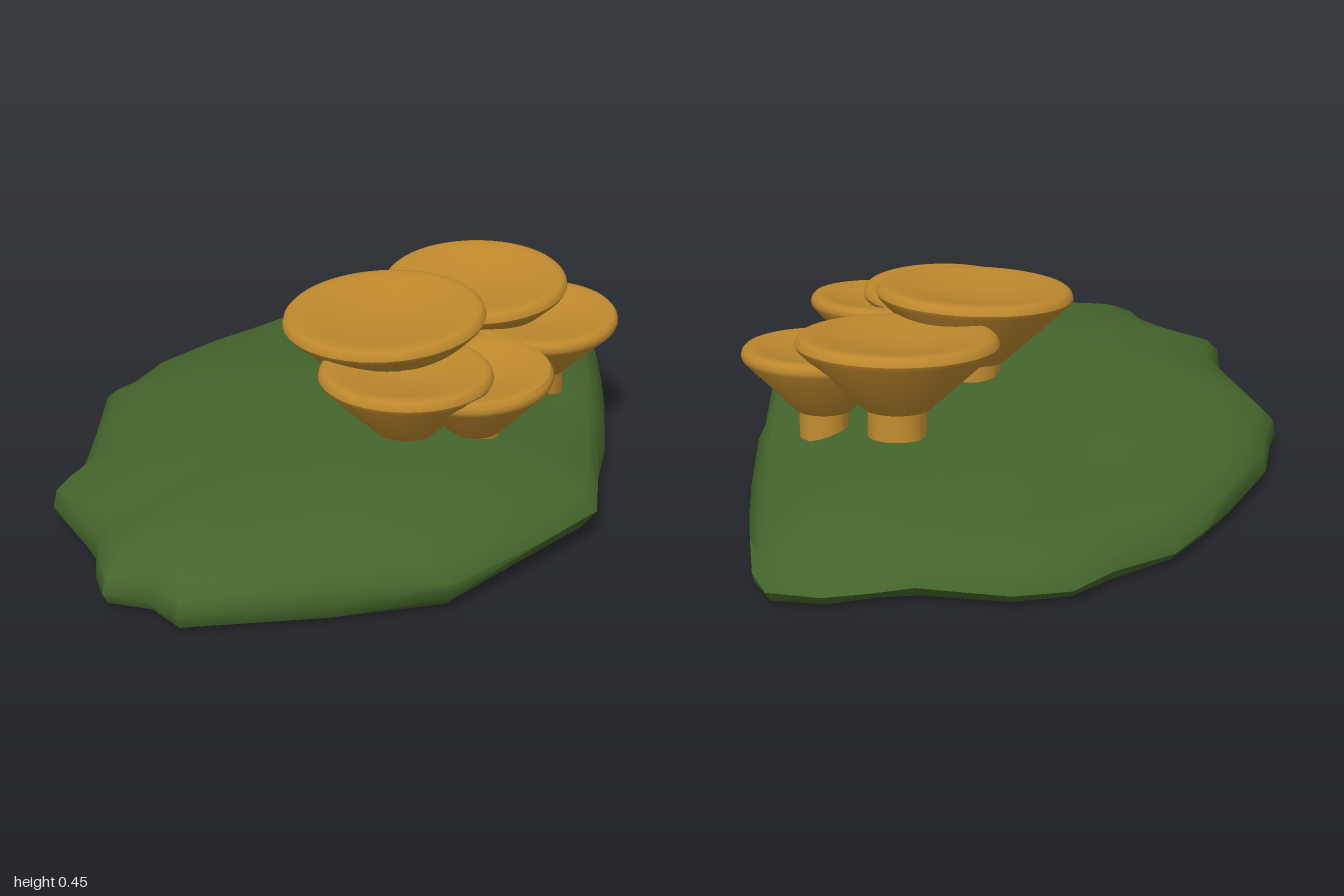
import * as THREE from 'three';
import { toCreasedNormals } from 'three/addons/utils/BufferGeometryUtils.js';

const green = new THREE.MeshStandardMaterial({ color: 0x44652b });
green.name = 'mossGreen';
const ochre = new THREE.MeshStandardMaterial({ color: 0xbd882d });
ochre.name = 'mushroomOchre';

const { smoothstep } = THREE.MathUtils;

// Outline of the mound seen from above, as x, z pairs
const OUTLINE = [
  [-1, 0], [-0.95, -0.07], [-0.9, -0.12], [-0.85, -0.22], [-0.78, -0.39], [-0.65, -0.43],
  [-0.48, -0.56], [-0.31, -0.69], [-0.22, -0.7], [-0.08, -0.73], [0.15, -0.72], [0.3, -0.7],
  [0.45, -0.67], [0.6, -0.58], [0.71, -0.53], [0.79, -0.42], [0.85, -0.22], [0.9, -0.14],
  [0.97, -0.06], [1, 0.06], [0.93, 0.14], [0.8, 0.23], [0.68, 0.31], [0.55, 0.39], [0.3, 0.53],
  [0.12, 0.62], [-0.09, 0.72], [-0.28, 0.69], [-0.56, 0.63], [-0.75, 0.44], [-0.98, 0.2], [-0.96, 0.1],
];

// Rings of the mound from underside centre to summit:
// scale, height, roughness, extra scale at the front left, extra scale at the front corner
const RINGS = [
  [0, 0.002, 0, 0, 0], [0.5, 0.004, 0, 0, 0], [0.98, 0.013, 0, 0.015, -0.08],
  [1, 0.04, 0.004, 0, -0.05], [0.985, 0.08, 0.006, -0.015, 0.015], [0.935, 0.115, 0.003, -0.005, 0.02],
  [0.84, 0.147, 0, 0, 0], [0.7, 0.177, 0, 0, 0], [0.5, 0.197, 0, 0, 0],
  [0.25, 0.209, 0, 0, 0], [0, 0.213, 0, 0, 0],
];

function moundGeometry() {
  const cx = -0.3, cz = 0.1, n = OUTLINE.length;
  const pos = [], index = [];
  RINGS.forEach(([s, y, rough, frontLeft, corner], i) => {
    OUTLINE.forEach(([x, z], j) => {
      // the front left flank slopes to the ground, the front corner overhangs
      const k = s + frontLeft * smoothstep(x, -0.05, 0.35) * smoothstep(z, 0, 0.15)
        + corner * smoothstep(z, 0.55, 0.72);
      const px = cx + (x - cx) * k, pz = cz + (z - cz) * k;
      // the pointed left end dips, and the top sags towards both ends
      let drop = i === 4 || i === 5 ? 0.04 * smoothstep(x, 0.82, 1) : 0;
      if (i > 5) {
        drop = 0.028 * smoothstep(px, -0.2, 0.35) * (1 - smoothstep(px, 0.4, 1))
          + 0.01 * smoothstep(-px, 0.35, 0.65);
      }
      pos.push(px, y - drop + rough * Math.sin(j * 2.3 + i), pz);
    });
  });
  for (let i = 0; i < RINGS.length - 1; i++) {
    for (let j = 0; j < n; j++) {
      const a = i * n + j, b = i * n + (j + 1) % n;
      if (i > 0) index.push(b, a, a + n);
      if (i < RINGS.length - 2) index.push(b, a + n, b + n);
    }
  }
  const g = new THREE.BufferGeometry();
  g.setAttribute('position', new THREE.Float32BufferAttribute(pos, 3));
  g.setIndex(index);
  return toCreasedNormals(g, 0.9);
}

// Funnel mushroom with its rim centre at the origin: stem, straight cone, rounded lip, dish
function mushroomGeometry(r, neck, stem, depth) {
  const pts = [
    [0, -depth - 0.07], [stem, -depth - 0.07], [stem, -depth], [neck, -depth],
    [r * 0.98, -0.024], [r, -0.014], [r * 0.985, -0.002], [r * 0.95, 0.006], [r * 0.9, 0.008],
    [r * 0.8, 0.005], [r * 0.6, -0.004], [r * 0.3, -0.015], [0, -0.019],
  ].map(([x, y]) => new THREE.Vector2(x, y));
  return toCreasedNormals(new THREE.LatheGeometry(pts, 48), 0.65);
}

export function createModel() {
  const model = new THREE.Group();
  model.name = 'mushroomsOnMound';

  const mound = new THREE.Mesh(moundGeometry(), green);
  mound.name = 'mound';
  model.add(mound);

  // name, rim centre x y z, radius, forward tilt, sideways tilt, neck radius, stem radius, funnel depth
  const mushrooms = [
    ['backLargeMushroom', -0.042, 0.424, 0.062, 0.258, 0, 0.09, 0.085, 0.075, 0.19],
    ['leftLargeMushroom', 0.343, 0.407, 0.085, 0.248, 0.03, 0.1, 0.083, 0.073, 0.175],
    ['rightMushroom', -0.198, 0.363, 0.242, 0.212, 0.01, 0.01, 0.07, 0.062, 0.16],
    ['frontMushroom', -0.08, 0.349, 0.362, 0.192, 0, 0.09, 0.065, 0.058, 0.152],
    ['leftSmallMushroom', 0.349, 0.35, 0.289, 0.204, 0.02, 0.09, 0.07, 0.062, 0.155],
  ];
  for (const [name, x, y, z, r, pitch, roll, neck, stem, depth] of mushrooms) {
    const m = new THREE.Mesh(mushroomGeometry(r, neck, stem, depth), ochre);
    m.name = name;
    m.position.set(x, y, z);
    m.rotation.set(pitch, 0, roll);
    model.add(m);
  }
  return model;
}
